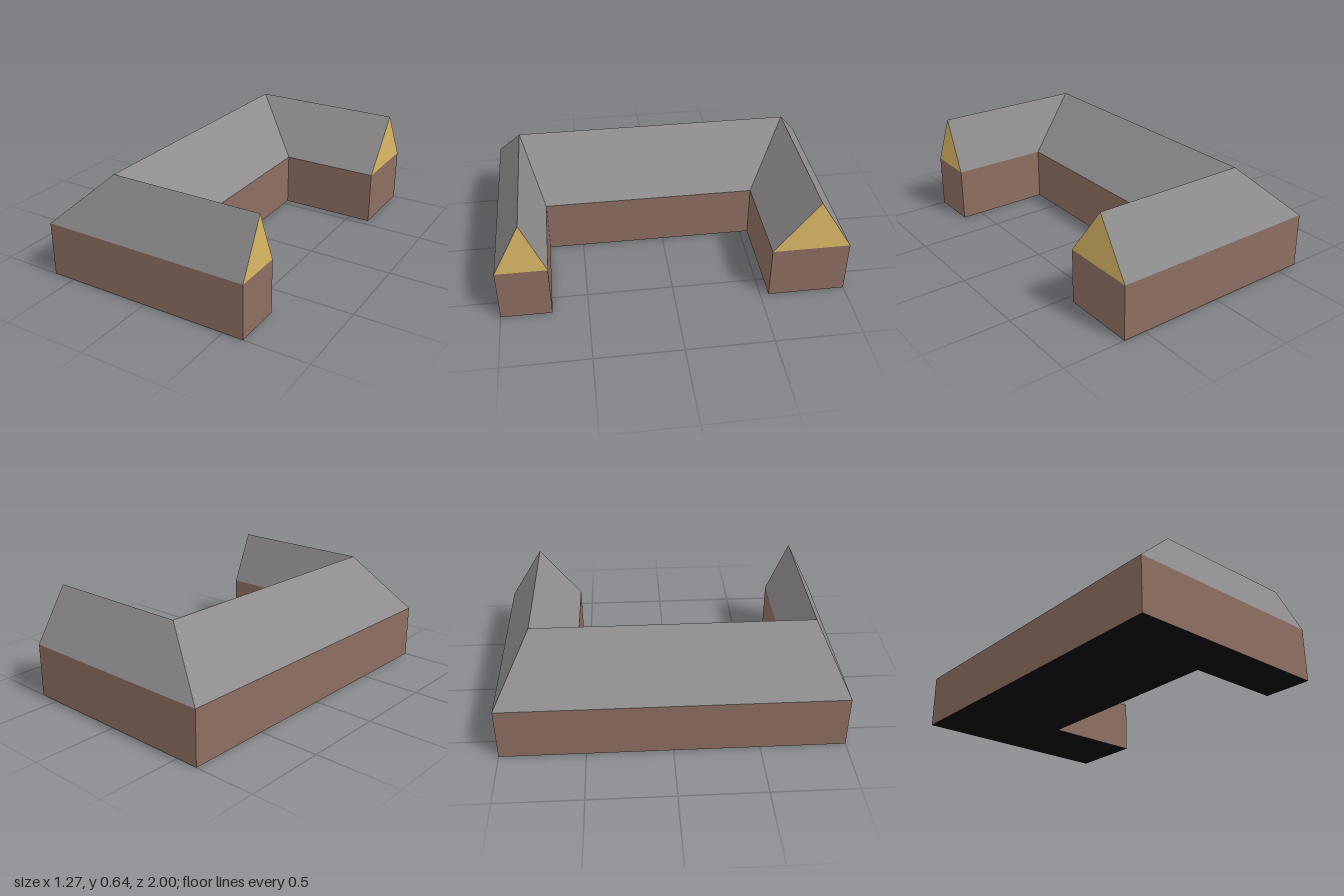
import * as THREE from 'three';

const EAVE = 0.322, RIDGE = 0.64;

// Plan lines [x, z] along the U, from the back wing's end to the front wing's end
const outer = [[0.632, -1], [-0.635, -1], [-0.635, 1], [0.622, 1]];
const ridge = [[0.632, -0.8], [-0.287, -0.8], [-0.287, 0.84], [0.622, 0.84]];
const inner = [[0.632, -0.55], [0.04, -0.55], [0.04, 0.707], [0.622, 0.707]];

const at = ([x, z], y) => [x, y, z];

// Flat faces, each a counter-clockwise list of three or four corners
function faceGeometry(faces) {
  const points = [];
  for (const face of faces) {
    for (let i = 1; i < face.length - 1; i++) points.push(...face[0], ...face[i], ...face[i + 1]);
  }
  const geometry = new THREE.BufferGeometry();
  geometry.setAttribute('position', new THREE.Float32BufferAttribute(points, 3));
  geometry.computeVertexNormals();
  return geometry;
}

function material(name, color) {
  const m = new THREE.MeshStandardMaterial({ color });
  m.name = name;
  return m;
}

export function createModel() {
  const model = new THREE.Group();
  model.name = 'courtyardBuilding';
  const add = (name, geometry, mat) => {
    const mesh = new THREE.Mesh(geometry, mat);
    mesh.name = name;
    model.add(mesh);
  };

  // Walls around the U-shaped footprint
  const outline = [...outer, ...[...inner].reverse()];
  const walls = outline.map((a, i) => {
    const b = outline[(i + 1) % outline.length];
    return [at(a, 0), at(b, 0), at(b, EAVE), at(a, EAVE)];
  });
  add('walls', faceGeometry(walls), material('brown wall', 0x8d6e61));

  // Pitched roof: an outer and an inner slope for each wing, mitred at the corners
  const slopes = [];
  for (let i = 0; i < 3; i++) {
    const ra = at(ridge[i], RIDGE), rb = at(ridge[i + 1], RIDGE);
    slopes.push([at(outer[i], EAVE), at(outer[i + 1], EAVE), rb, ra]);
    slopes.push([at(inner[i + 1], EAVE), at(inner[i], EAVE), ra, rb]);
  }
  add('roof', faceGeometry(slopes), material('grey roof', 0x8e8c8d));

  // Gable triangles at the two wing ends
  const ochre = material('ochre gable', 0xdcb966);
  add('backGable', faceGeometry([[at(inner[0], EAVE), at(outer[0], EAVE), at(ridge[0], RIDGE)]]), ochre);
  add('frontGable', faceGeometry([[at(outer[3], EAVE), at(inner[3], EAVE), at(ridge[3], RIDGE)]]), ochre);

  // Underside
  const floor = new THREE.ShapeGeometry(new THREE.Shape(outline.map(([x, z]) => new THREE.Vector2(x, z))));
  floor.rotateX(Math.PI / 2);
  add('floor', floor, material('black floor', 0x0c0c0c));

  return model;
}
